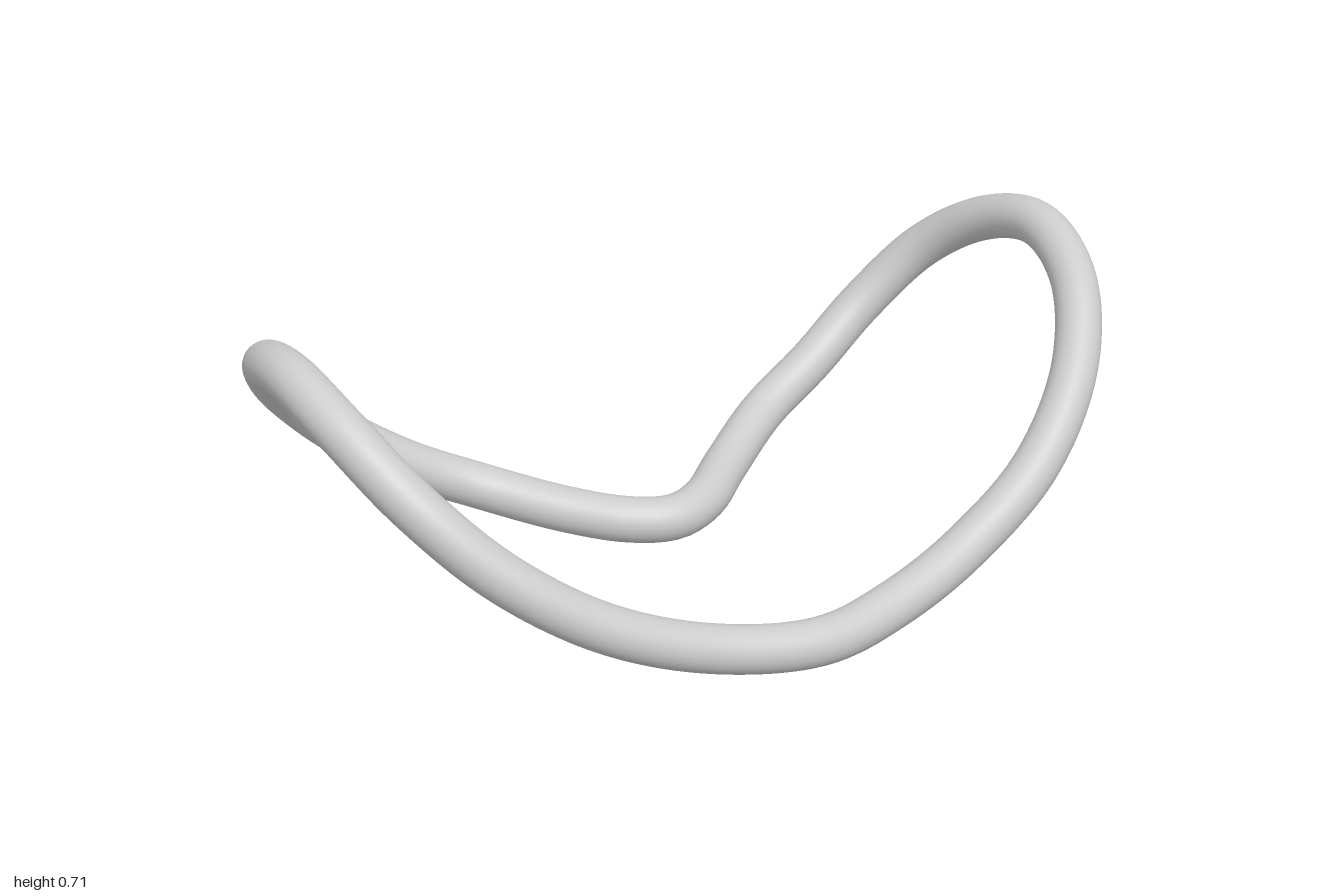
import * as THREE from 'three';

// Closed rod: its plan outline is bent upward along a circular arc.
const ROD_RADIUS = 0.0535;
const ARC = { x: 0.009, y: 1.116, r: 1.062 };

// Plan outline of the rod's centre line as [x, z]
const OUTLINE = [
  [-0.02, 0.487], [-0.26, 0.454], [-0.5, 0.408], [-0.7, 0.335], [-0.84, 0.225], [-0.92, 0.07],
  [-0.947, -0.1], [-0.922, -0.3], [-0.835, -0.442], [-0.69, -0.49], [-0.53, -0.472],
  [-0.38, -0.425], [-0.22, -0.3], [-0.1, -0.21], [0, -0.177], [0.1, -0.213],
  [0.22, -0.312], [0.4, -0.432], [0.56, -0.47], [0.717, -0.487], [0.85, -0.425],
  [0.925, -0.27], [0.947, -0.09], [0.91, 0.1], [0.805, 0.255], [0.63, 0.358],
  [0.4, 0.411], [0.18, 0.455],
];

const arcHeight = (x) => ARC.y - Math.sqrt(ARC.r ** 2 - (x - ARC.x) ** 2);

export function createModel() {
  const group = new THREE.Group();
  group.name = 'bentLoop';

  const points = OUTLINE.map(([x, z]) => new THREE.Vector3(x, arcHeight(x), z));
  const path = new THREE.CatmullRomCurve3(points, true, 'centripetal');

  // Round rod swept along the loop
  const rod = new THREE.Mesh(
    new THREE.TubeGeometry(path, 240, ROD_RADIUS, 32, true),
    new THREE.MeshStandardMaterial({ color: 0xcccccc })
  );
  rod.name = 'rod';
  group.add(rod);
  return group;
}
